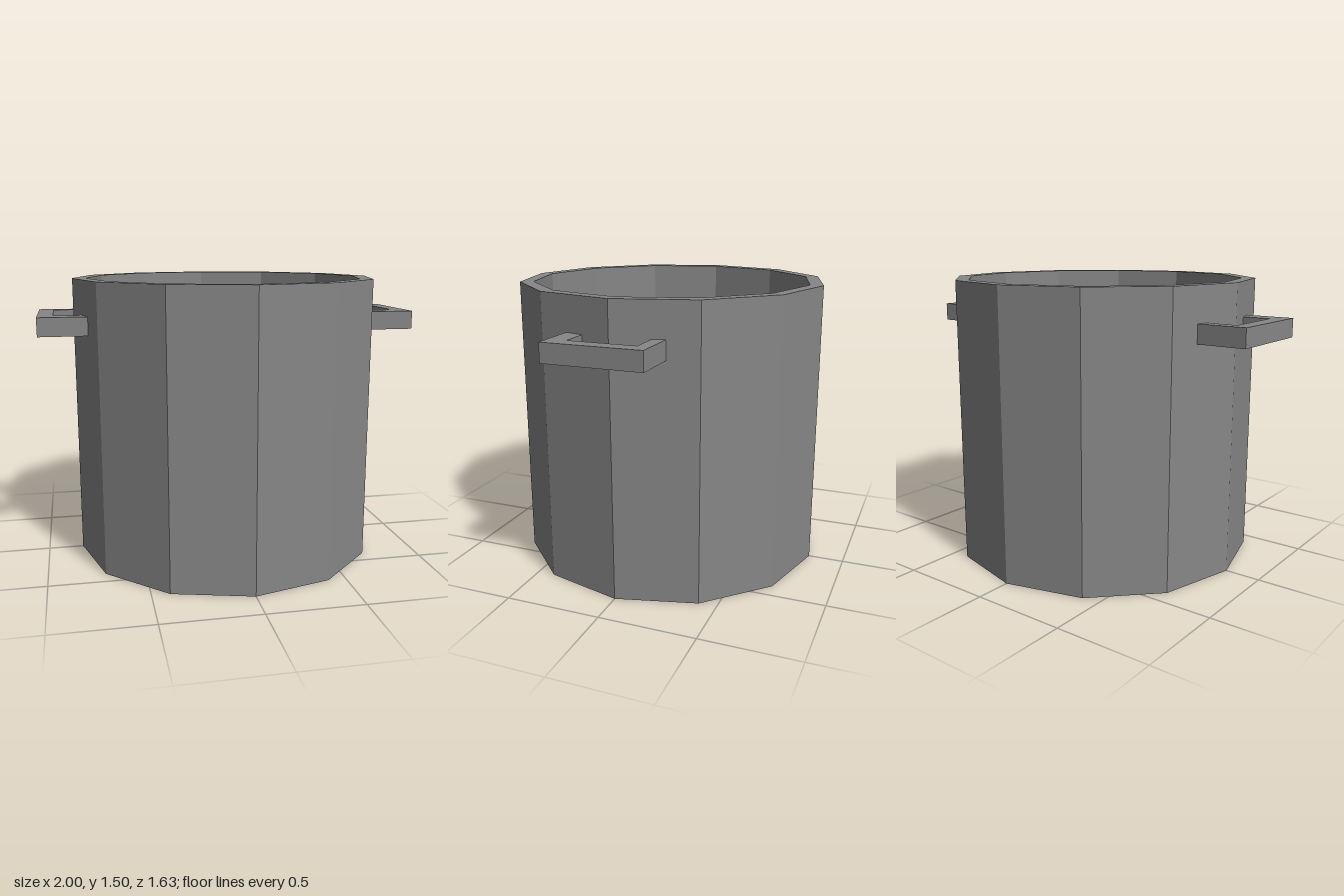
import * as THREE from 'three';

const SIDES = 12, R = 0.815, INNER = 0.745, HEIGHT = 1.503, FLOOR = 0.07, WATER = 1.18;

export function createModel() {
  const group = new THREE.Group();
  const metal = new THREE.MeshStandardMaterial({ color: 0x878787, flatShading: true });
  const blue = new THREE.MeshStandardMaterial({ color: 0x3892e6 });

  const add = (name, geometry, material) => {
    const mesh = new THREE.Mesh(geometry, material);
    mesh.name = name;
    group.add(mesh);
    return mesh;
  };

  // Pot: outer wall, flat rim, inner wall and floor in one faceted profile
  const profile = [[0, 0], [R, 0], [R, HEIGHT], [INNER, HEIGHT], [INNER, FLOOR], [0, FLOOR]];
  add('pot', new THREE.LatheGeometry(profile.map(([x, y]) => new THREE.Vector2(x, y)), SIDES), metal);

  // Water surface, corners aligned with the inner wall
  const water = add('water', new THREE.CircleGeometry(INNER, SIDES), blue);
  water.rotation.x = -Math.PI / 2;
  water.position.y = WATER;

  // U-shaped handles, arms sunk into the wall; the front arm is thicker
  const outline = [[0.73, -0.253], [1, -0.253], [1, 0.253], [0.73, 0.253],
    [0.73, 0.155], [0.92, 0.155], [0.92, -0.19], [0.73, -0.19]];
  for (const side of [1, -1]) {
    const shape = new THREE.Shape(outline.map(([x, z]) => new THREE.Vector2(side * x, z)));
    const geometry = new THREE.ExtrudeGeometry(shape, { depth: 0.097, bevelEnabled: false });
    const handle = add(side > 0 ? 'leftHandle' : 'rightHandle', geometry, metal);
    handle.rotation.x = Math.PI / 2;
    handle.position.y = 1.322;
  }

  return group;
}
